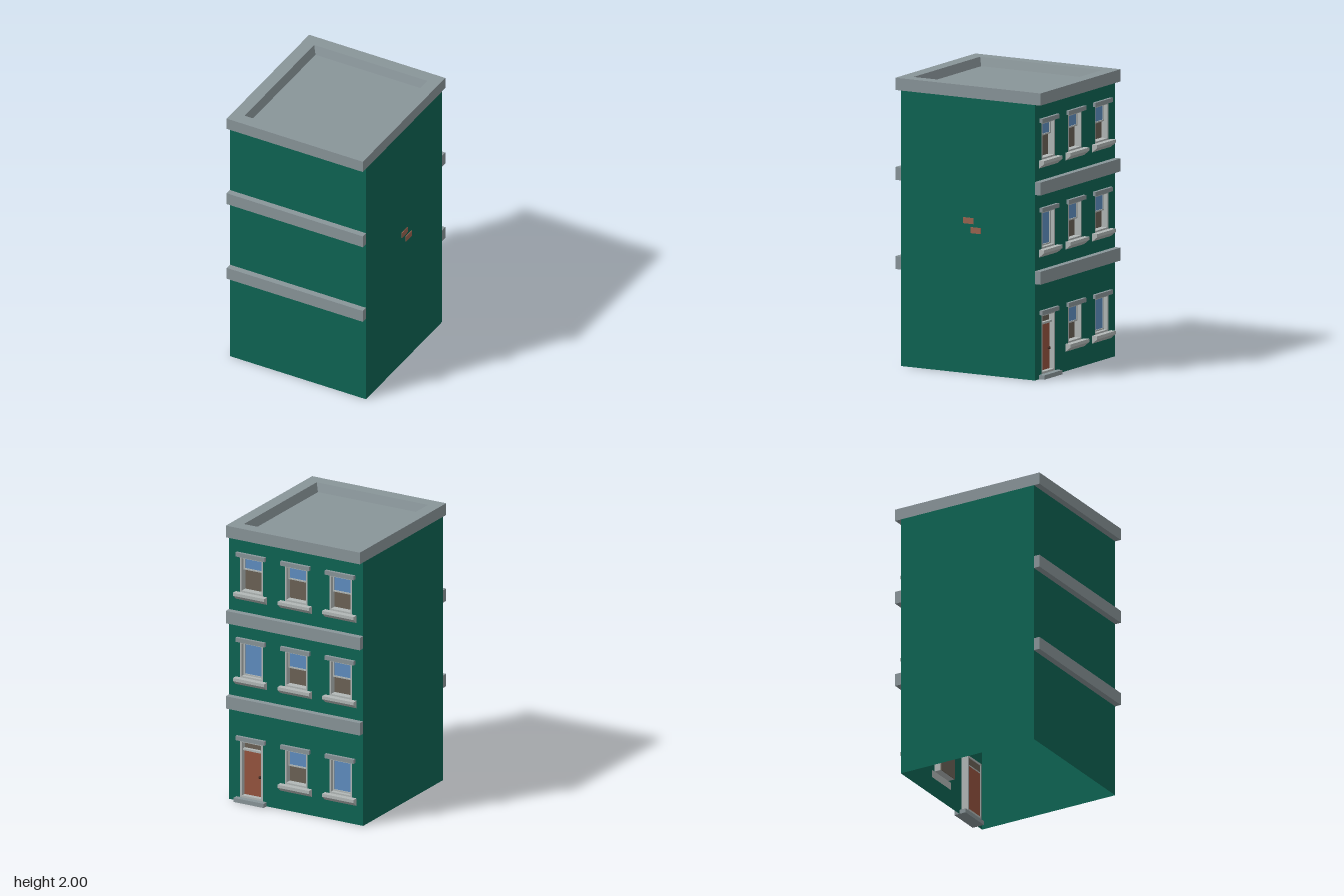
import * as THREE from 'three';

const mat = (name, color, side = THREE.FrontSide) => {
  const m = new THREE.MeshStandardMaterial({ color, side });
  m.name = name;
  return m;
};

const HX = 0.533, HZ = 0.533, WALL_TOP = 1.915;   // half width, half depth, wall height
const OPEN_W = 0.18;                              // width of every opening
const COLUMNS = [-0.355, 0, 0.355];
const FLOORS = [0.19, 0.9, 1.52];                 // sill heights
const HEADS = [0.445, 1.16, 1.78];                // lintel undersides

export function createModel() {
  const green = mat('green wall', 0x0e6453, THREE.DoubleSide);
  const stone = mat('grey stone', 0x899599);
  const pale = mat('pale stone', 0xb2b8b7);
  const blue = mat('blue glass', 0x5f8ec0);
  const dim = mat('dim interior', 0x6b6256);
  const wood = mat('red brown door', 0x96543f);
  const brickRed = mat('brick', 0x9a6450);
  const dark = mat('dark knob', 0x4a3026);

  const model = new THREE.Group();
  model.name = 'townhouse';

  const add = (parent, name, geometry, material, x = 0, y = 0, z = 0) => {
    const mesh = new THREE.Mesh(geometry, material);
    mesh.name = name;
    mesh.position.set(x, y, z);
    parent.add(mesh);
    return mesh;
  };
  const box = (parent, name, material, w, h, d, x, y, z) =>
    add(parent, name, new THREE.BoxGeometry(w, h, d), material, x, y, z);

  const rect = (Type, x0, y0, x1, y1) => {
    const p = new Type();
    p.moveTo(x0, y0);
    p.lineTo(x1, y0);
    p.lineTo(x1, y1);
    p.lineTo(x0, y1);
    p.closePath();
    return p;
  };

  // Rectangular ring standing on y = 0, its front at z = 0
  const ring = (w, h, t, d) => {
    const s = rect(THREE.Shape, -w / 2, 0, w / 2, h);
    s.holes.push(rect(THREE.Path, -w / 2 + t, t, w / 2 - t, h - t));
    return new THREE.ExtrudeGeometry(s, { depth: d, bevelEnabled: false }).translate(0, 0, -d);
  };

  // Faces between stacked rectangles [halfX, y, halfZ], capped at both ends
  const rectLoft = (rings) => {
    const corner = ([a, y, b], i) => [[-a, y, b], [a, y, b], [a, y, -b], [-a, y, -b]][i % 4];
    const pos = [];
    const quad = (a, b, c, d) => pos.push(...a, ...b, ...c, ...a, ...c, ...d);
    for (let k = 0; k + 1 < rings.length; k++)
      for (let i = 0; i < 4; i++)
        quad(corner(rings[k], i), corner(rings[k], i + 1), corner(rings[k + 1], i + 1), corner(rings[k + 1], i));
    const first = rings[0], last = rings[rings.length - 1];
    quad(...[3, 2, 1, 0].map((i) => corner(first, i)));
    quad(...[0, 1, 2, 3].map((i) => corner(last, i)));
    const g = new THREE.BufferGeometry();
    g.setAttribute('position', new THREE.Float32BufferAttribute(pos, 3));
    g.computeVertexNormals();
    return g;
  };

  // Plain walls, open underneath
  const plain = (w) => new THREE.PlaneGeometry(w, WALL_TOP);
  add(model, 'frontWall', plain(HX * 2), green, 0, WALL_TOP / 2, HZ);
  for (const s of [-1, 1])
    add(model, s > 0 ? 'leftWall' : 'rightWall', plain(HZ * 2), green, s * HX, WALL_TOP / 2, 0)
      .rotation.y = s * Math.PI / 2;

  // Cornice with the sunken roof
  add(model, 'corniceAndRoof', rectLoft([
    [HX, WALL_TOP, 0.578], [HX, 2, 0.578], [0.443, 2, 0.487], [0.42, 1.94, 0.465],
  ]), stone);

  // Floor bands on the front and back
  for (const y of [0.715, 1.335])
    for (const s of [-1, 1])
      box(model, 'floorBand', stone, HX * 2, 0.09, 0.045, 0, y, s * (HZ + 0.0225));

  // Exposed bricks on the side wall
  for (const [y, z] of [[1.062, -0.005], [0.998, -0.062]])
    box(model, 'exposedBrick', brickRed, 0.006, 0.042, 0.082, HX + 0.001, y, z);

  // Windowed facade, built facing +z and turned to the back
  const facade = new THREE.Group();
  facade.name = 'windowFacade';
  facade.rotation.y = Math.PI;
  model.add(facade);

  const wall = rect(THREE.Shape, -HX, 0, HX, WALL_TOP);
  FLOORS.forEach((y, f) => COLUMNS.forEach((x, c) => {
    const bottom = f === 0 && c === 0 ? 0.03 : y;
    wall.holes.push(rect(THREE.Path, x - OPEN_W / 2, bottom, x + OPEN_W / 2, HEADS[f]));
  }));
  add(facade, 'facadeWall', new THREE.ShapeGeometry(wall), green, 0, 0, HZ);

  // Sill with a sloping underside
  const sillProfile = new THREE.Shape([[0, -0.055], [0.04, -0.022], [0.04, 0], [0, 0]]
    .map(([z, y]) => new THREE.Vector2(z, y)));
  const sillGeometry = new THREE.ExtrudeGeometry(sillProfile, { depth: 0.25, bevelEnabled: false })
    .rotateY(-Math.PI / 2).translate(0.125, 0, 0);

  const lintel = (parent, y) => box(parent, 'lintel', stone, 0.23, 0.03, 0.022, 0, y + 0.015, HZ + 0.011);

  // Sash window: open is the bare share of its height, 0 when shut
  const makeWindow = (x, y, head, open) => {
    const g = new THREE.Group();
    g.name = 'window';
    g.position.set(x, y, 0);
    facade.add(g);
    const h = head - y, w = OPEN_W - 0.024;
    add(g, 'windowCasing', ring(OPEN_W, h, 0.012, 0.05), pale, 0, 0, HZ);
    box(g, 'dimInterior', dim, OPEN_W, h, 0.006, 0, h / 2, HZ - 0.052);
    const low = open ? 0.012 + (h - 0.024) * open : 0.012;
    const sashH = h - 0.012 - low;
    add(g, 'sashFrame', ring(w, sashH, 0.01, 0.014), pale, 0, low, HZ - 0.026);
    box(g, 'glass', blue, w - 0.01, sashH - 0.01, 0.004, 0, low + sashH / 2, HZ - 0.035);
    add(g, 'sill', sillGeometry, pale, 0, 0, HZ);
    lintel(g, h);
  };

  const openings = [[null, 0.5, 0], [0, 0.5, 0.5], [0.62, 0.6, 0.5]];
  openings.forEach((row, f) => row.forEach((open, c) => {
    if (open !== null) makeWindow(COLUMNS[c], FLOORS[f], HEADS[f], open);
  }));

  // Front door with transom, knob and step
  const door = new THREE.Group();
  door.name = 'entrance';
  door.position.x = COLUMNS[0];
  facade.add(door);
  const doorH = HEADS[0] - 0.03;
  add(door, 'doorCasing', ring(OPEN_W, doorH, 0.014, 0.05), pale, 0, 0.03, HZ);
  box(door, 'doorLeaf', wood, 0.156, 0.34, 0.012, 0, 0.2, HZ - 0.04);
  box(door, 'transomBar', pale, 0.156, 0.014, 0.03, 0, 0.375, HZ - 0.03);
  box(door, 'transomPane', dim, 0.156, 0.06, 0.006, 0, 0.41, HZ - 0.042);
  add(door, 'doorKnob', new THREE.SphereGeometry(0.011, 12, 8), dark, 0.052, 0.19, HZ - 0.024);
  box(door, 'doorStep', stone, 0.24, 0.03, 0.09, 0, 0.015, HZ - 0.005);
  lintel(door, HEADS[0]);

  return model;
}
